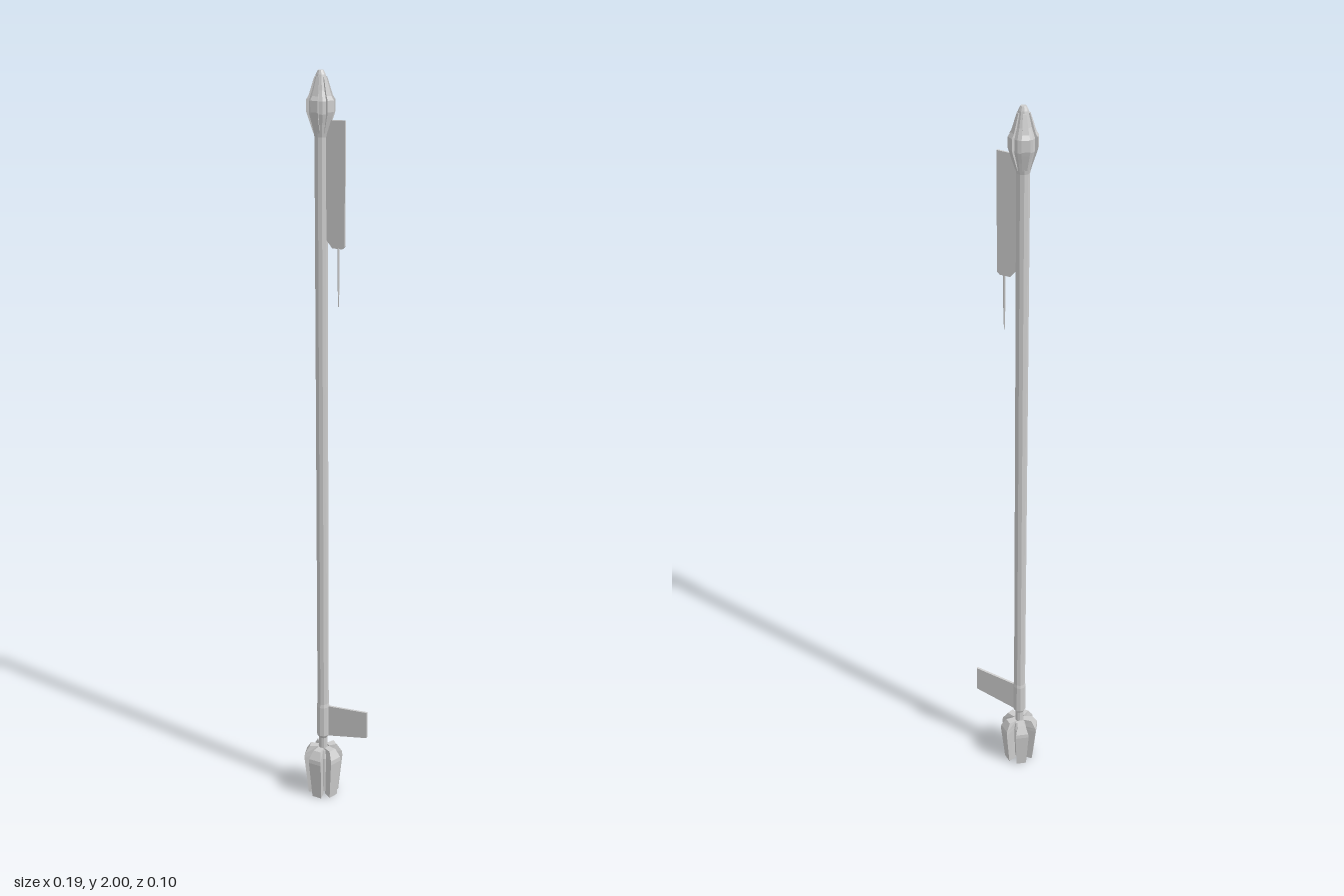
import * as THREE from 'three';

const AXIS_X = -0.043;
const material = new THREE.MeshStandardMaterial({ color: 0xcccccc, flatShading: true });
const thinMaterial = new THREE.MeshStandardMaterial({ color: 0xcccccc, flatShading: true, side: THREE.DoubleSide });

function add(parent, name, geometry, mat = material) {
  const mesh = new THREE.Mesh(geometry, mat);
  mesh.name = name;
  parent.add(mesh);
  return mesh;
}

function lathe(profile, sides) {
  return new THREE.LatheGeometry(profile.map(([r, y]) => new THREE.Vector2(r, y)), sides);
}

// Radial wedge facing +z, lofted upward through sections
// [y, inner radius, inner half width, outer radius, outer half width]
function wedgeGeometry(sections) {
  const pos = [], idx = [];
  for (const [y, rIn, wIn, rOut, wOut] of sections)
    pos.push(-wIn, y, rIn, -wOut, y, rOut, wOut, y, rOut, wIn, y, rIn);
  for (let s = 0; s < sections.length - 1; s++)
    for (let i = 0; i < 4; i++) {
      const a = s * 4 + i, b = s * 4 + (i + 1) % 4;
      idx.push(a, b, b + 4, a, b + 4, a + 4);
    }
  const t = (sections.length - 1) * 4;
  idx.push(0, 2, 1, 0, 3, 2, t, t + 1, t + 2, t, t + 2, t + 3);
  const g = new THREE.BufferGeometry();
  g.setAttribute('position', new THREE.Float32BufferAttribute(pos, 3));
  g.setIndex(idx);
  g.computeVertexNormals();
  return g;
}

function ringOfFive(parent, name, geometry) {
  for (let i = 0; i < 5; i++) add(parent, name, geometry).rotation.y = i * Math.PI * 2 / 5;
}

// Thin plate in the xy plane
function plate(points, thickness) {
  const shape = new THREE.Shape(points.map(([x, y]) => new THREE.Vector2(x, y)));
  return new THREE.ExtrudeGeometry(shape, { depth: thickness, bevelEnabled: false }).translate(0, 0, -thickness / 2);
}

export function createModel() {
  const model = new THREE.Group();
  model.name = 'staff';
  const staff = new THREE.Group();
  staff.name = 'shaftAssembly';
  staff.position.x = AXIS_X;
  model.add(staff);

  // Shaft with a slim neck and a slightly thicker lower sleeve
  add(staff, 'shaft', lathe([
    [0, 0.1], [0.012, 0.1], [0.012, 0.18], [0.018, 0.19], [0.018, 0.28], [0.016, 0.29],
    [0.016, 1.86], [0, 1.86]], 10));

  // Foot: core and five flared blades
  add(staff, 'footCore', lathe([[0, 0.01], [0.02, 0.01], [0.026, 0.12], [0.02, 0.145], [0, 0.145]], 10));
  ringOfFive(staff, 'footBlade', wedgeGeometry([
    [0, 0.014, 0.008, 0.04, 0.014],
    [0.115, 0.016, 0.009, 0.051, 0.019],
    [0.127, 0.016, 0.009, 0.05, 0.018],
    [0.15, 0.014, 0.008, 0.037, 0.011]]));

  // Head: pointed core and five angular ribs
  add(staff, 'headCore', lathe([
    [0, 1.845], [0.016, 1.845], [0.023, 1.875], [0.03, 1.9], [0.03, 1.93],
    [0.021, 1.955], [0.012, 1.99], [0.007, 2], [0, 2]], 10));
  ringOfFive(staff, 'headRib', wedgeGeometry([
    [1.855, 0.01, 0.004, 0.018, 0.006],
    [1.895, 0.01, 0.005, 0.031, 0.009],
    [1.905, 0.01, 0.005, 0.034, 0.01],
    [1.932, 0.01, 0.005, 0.034, 0.01],
    [1.942, 0.01, 0.005, 0.028, 0.008],
    [1.985, 0.004, 0.002, 0.015, 0.004]]));

  // Upper hanging banner with a chamfered lower corner
  add(model, 'banner', plate([
    [-0.03, 1.885], [-0.03, 1.6], [-0.012, 1.578], [0.016, 1.578], [0.023, 1.585], [0.023, 1.887]], 0.005), thinMaterial);

  // Cord and pointed tassel below the banner
  const cord = add(model, 'cord', new THREE.CylinderGeometry(0.003, 0.003, 0.08, 5));
  cord.position.set(0.005, 1.54, 0);
  const tassel = add(model, 'tassel', new THREE.CylinderGeometry(0.003, 0.001, 0.07, 5));
  tassel.position.set(0.005, 1.467, 0);

  // Lower slanted pennant
  add(model, 'pennant', plate([
    [-0.035, 0.185], [0.093, 0.213], [0.093, 0.293], [-0.035, 0.28]], 0.006), thinMaterial)
    .position.z = -0.003;

  return model;
}
